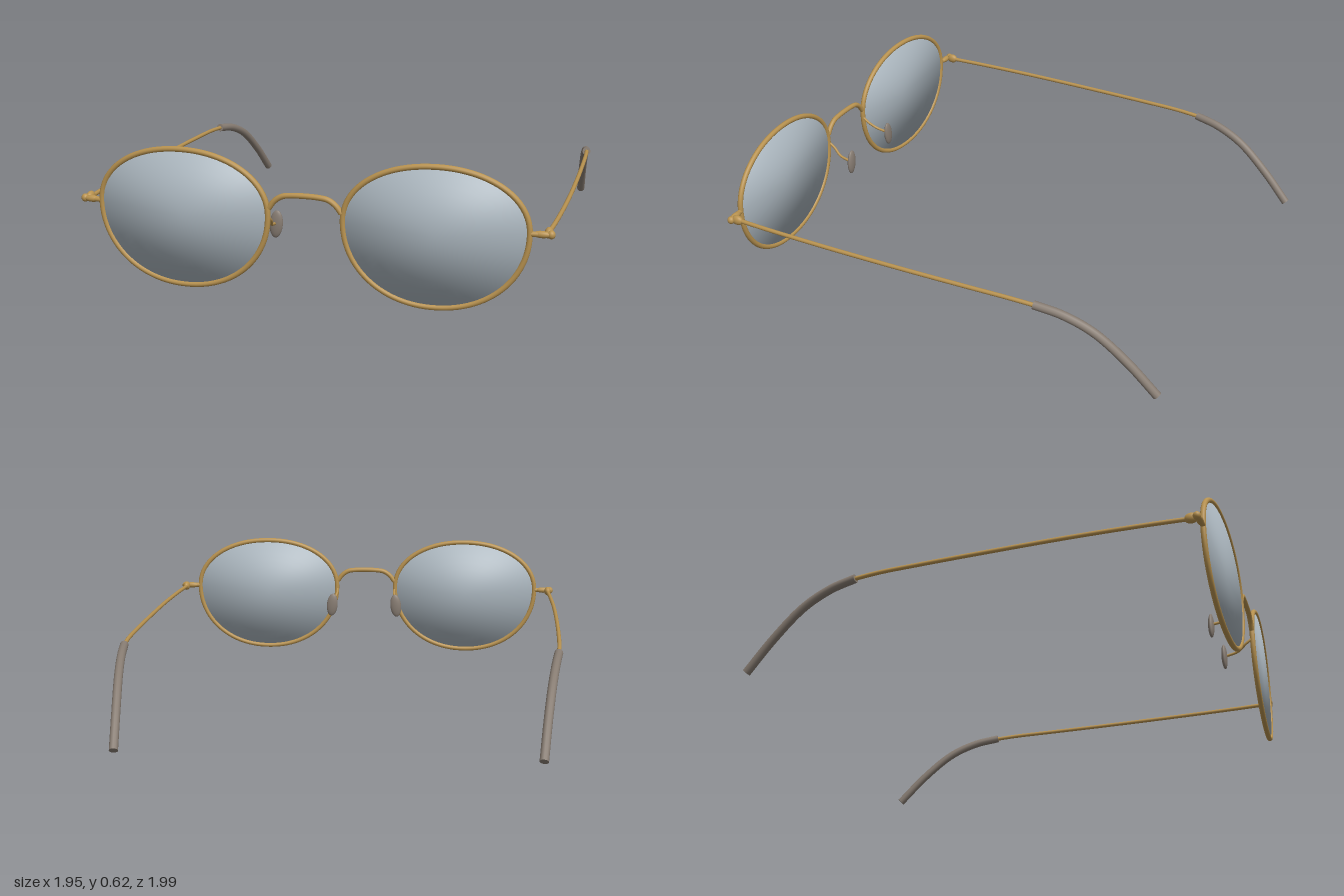
import * as THREE from 'three';

const V = (x, y, z) => new THREE.Vector3(x, y, z);
const gold = new THREE.MeshStandardMaterial({ color: 0xb8924f });
gold.name = 'gold metal';
const lensGrey = new THREE.MeshStandardMaterial({ color: 0xa9b4bc });
lensGrey.name = 'lens grey';
const tipBrown = new THREE.MeshStandardMaterial({ color: 0x877c72 });
tipBrown.name = 'tip taupe';

// The whole front is gently bowed backwards towards the sides
const bowZ = (x) => 0.982 - 0.04 * x * x;

// Egg-shaped outline of one lens, fuller below its widest line
function outline(t, side, k = 1) {
  const pw = (v) => Math.sign(v) * Math.abs(v) ** 0.96;
  const c = pw(Math.cos(t)), s = pw(Math.sin(t));
  const x = side * 0.515 + 0.362 * c * k;
  const y = 0.37 + (s > 0 ? 0.24 : 0.322) * s * k - 0.04 * (1 - k);
  return V(x, y, bowZ(x));
}

function add(group, name, geometry, material) {
  const mesh = new THREE.Mesh(geometry, material);
  mesh.name = name;
  group.add(mesh);
  return mesh;
}

function ball(group, name, position, radii, material) {
  const mesh = add(group, name, new THREE.SphereGeometry(1, 24, 16), material);
  mesh.position.copy(position);
  mesh.scale.copy(radii);
  return mesh;
}

function tube(group, name, points, radius, material, closed = false, steps = 48) {
  const curve = new THREE.CatmullRomCurve3(points, closed);
  return add(group, name, new THREE.TubeGeometry(curve, steps, radius, 12, closed), material);
}

// One face of a lens, with softly rounded normals; face is 1 for front, -1 for back
function lensFace(side, face) {
  const rings = 8, n = 64, pos = [], nor = [], idx = [];
  for (let r = 0; r <= rings; r++) {
    for (let i = 0; i <= n; i++) {
      const t = (i / n) * Math.PI * 2, k = r / rings;
      const p = outline(t, side, k);
      pos.push(p.x, p.y, p.z + face * 0.004);
      const normal = V(Math.cos(t) * k * 0.65, Math.sin(t) * k * 0.95, face).normalize();
      nor.push(normal.x, normal.y, normal.z);
      if (r < rings && i < n) {
        const a = r * (n + 1) + i, b = a + n + 1;
        if (face > 0) idx.push(a, b, b + 1, a, b + 1, a + 1);
        else idx.push(a, b + 1, b, a, a + 1, b + 1);
      }
    }
  }
  const g = new THREE.BufferGeometry();
  g.setAttribute('position', new THREE.Float32BufferAttribute(pos, 3));
  g.setAttribute('normal', new THREE.Float32BufferAttribute(nor, 3));
  g.setIndex(idx);
  return g;
}

function buildSide(side) {
  const g = new THREE.Group();
  g.name = side > 0 ? 'leftSide' : 'rightSide';
  const P = (x, y, z) => V(side * x, y, z);

  // Lens and its wire rim
  add(g, 'lensFront', lensFace(side, 1), lensGrey);
  add(g, 'lensBack', lensFace(side, -1), lensGrey);
  const rim = [];
  for (let i = 0; i < 48; i++) rim.push(outline((i / 48) * Math.PI * 2, side));
  tube(g, 'rim', rim, 0.0115, gold, true, 96);

  // End piece and hinge
  tube(g, 'endPiece', [P(0.875, 0.37, 0.951), P(0.91, 0.37, 0.949), P(0.95, 0.37, 0.945)], 0.011, gold, false, 8);
  ball(g, 'endBarrel', P(0.922, 0.37, 0.947), V(0.036, 0.014, 0.014), gold);
  ball(g, 'endKnob', P(0.957, 0.37, 0.942), V(0.016, 0.017, 0.016), gold);
  ball(g, 'hinge', P(0.945, 0.37, 0.918), V(0.017, 0.022, 0.028), gold);

  // Temple wire
  tube(g, 'temple', [
    P(0.943, 0.369, 0.92), P(0.95, 0.367, 0.75), P(0.954, 0.363, 0.45), P(0.949, 0.357, 0.1),
    P(0.94, 0.352, -0.2), P(0.932, 0.348, -0.38), P(0.921, 0.338, -0.52),
  ], 0.009, gold);

  // Curved ear tip with closed ends
  const path = [
    P(0.924, 0.342, -0.48), P(0.907, 0.318, -0.6), P(0.888, 0.262, -0.725),
    P(0.867, 0.15, -0.86), P(0.849, 0.018, -0.985),
  ];
  tube(g, 'earTip', path, 0.0185, tipBrown);
  const curve = new THREE.CatmullRomCurve3(path);
  for (const [u, sign] of [[0, -1], [1, 1]]) {
    const cap = add(g, 'earTipEnd', new THREE.CircleGeometry(0.0185, 16), tipBrown);
    cap.position.copy(curve.getPoint(u));
    cap.quaternion.setFromUnitVectors(V(0, 0, 1), curve.getTangent(u).multiplyScalar(sign));
  }

  // Nose pad on its wire arm
  tube(g, 'padArm', [
    P(0.15, 0.36, 0.98), P(0.15, 0.338, 0.95), P(0.163, 0.31, 0.91), P(0.168, 0.297, 0.855),
  ], 0.006, gold, false, 20);
  const pad = ball(g, 'nosePad', P(0.165, 0.293, 0.848), V(0.028, 0.058, 0.013), tipBrown);
  pad.rotation.z = side * 0.1;
  return g;
}

export function createModel() {
  const model = new THREE.Group();
  model.name = 'glasses';
  model.add(buildSide(1), buildSide(-1));

  // Arched bridge between the rims
  const half = [[0.148, 0.4], [0.125, 0.43], [0.095, 0.45], [0.055, 0.457]];
  const bridge = [
    ...half.map(([x, y]) => V(-x, y, 0.981)),
    ...half.reverse().map(([x, y]) => V(x, y, 0.981)),
  ];
  tube(model, 'bridge', bridge, 0.0115, gold);
  return model;
}
